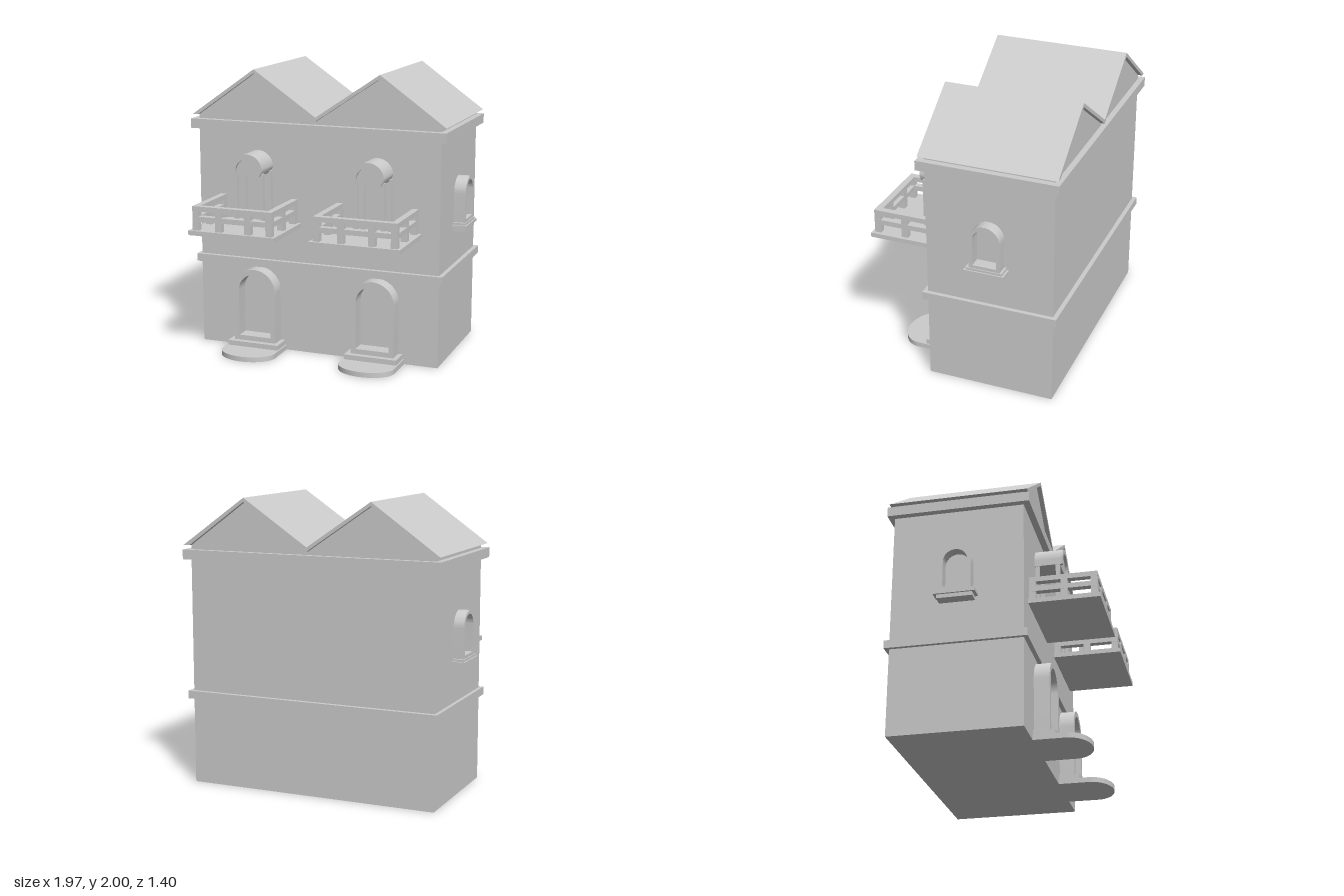
import * as THREE from 'three';
import { toCreasedNormals } from 'three/addons/utils/BufferGeometryUtils.js';

const material = new THREE.MeshStandardMaterial({ color: 0xcccccc });

function add(parent, name, geometry) {
  const mesh = new THREE.Mesh(geometry, material);
  mesh.name = name;
  parent.add(mesh);
  return mesh;
}

// Box given by its limits on each axis
function box(parent, name, x0, x1, y0, y1, z0, z1) {
  const mesh = add(parent, name, new THREE.BoxGeometry(x1 - x0, y1 - y0, z1 - z0));
  mesh.position.set((x0 + x1) / 2, (y0 + y1) / 2, (z0 + z1) / 2);
  return mesh;
}

// Shape in XY extruded from z0 to z1
function prism(parent, name, shape, z0, z1) {
  const geometry = new THREE.ExtrudeGeometry(shape, { depth: z1 - z0, bevelEnabled: false, curveSegments: 20 });
  geometry.translate(0, 0, z0);
  return add(parent, name, toCreasedNormals(geometry, 0.6));
}

const polygon = (points) => new THREE.Shape(points.map(([x, y]) => new THREE.Vector2(x, y)));

// Round-headed outline of half width r, from y0 up to a crown at y1
function arch(r, y0, y1, Type = THREE.Shape) {
  const path = new Type();
  path.moveTo(-r, y0);
  path.lineTo(r, y0);
  path.lineTo(r, y1 - r);
  path.absarc(0, y1 - r, r, 0, Math.PI, false);
  path.lineTo(-r, y0);
  return path;
}

function archFrame(rOuter, rInner, y0, y0Inner, y1, y1Inner) {
  const shape = arch(rOuter, y0, y1);
  shape.holes.push(arch(rInner, y0Inner, y1Inner, THREE.Path));
  return shape;
}

// Ground floor doorway with a threshold and a bowed step
function createDoorway() {
  const door = new THREE.Group();
  door.name = 'doorway';
  prism(door, 'doorFrame', archFrame(0.157, 0.12, 0.07, 0.105, 0.595, 0.558), 0.22, 0.335);
  box(door, 'threshold', -0.19, 0.19, 0.035, 0.07, 0.22, 0.375);
  const step = new THREE.Shape();
  step.moveTo(-0.2, -0.22);
  step.lineTo(-0.2, -0.44);
  step.absellipse(0, -0.44, 0.2, 0.145, Math.PI, Math.PI * 2, false);
  step.lineTo(0.2, -0.22);
  prism(door, 'doorStep', step, 0, 0.035).rotation.x = -Math.PI / 2;
  return door;
}

// Balcony with a pierced railing and an arched hood on four posts
function createBalcony() {
  const balcony = new THREE.Group();
  balcony.name = 'balcony';
  box(balcony, 'balconyFloor', -0.317, 0.317, 0.905, 0.937, 0.22, 0.705);

  for (const [y0, y1] of [[1.0, 1.035], [1.07, 1.105]]) {
    box(balcony, 'frontRail', -0.293, 0.293, y0, y1, 0.64, 0.685);
    for (const s of [-1, 1]) {
      const rail = box(balcony, 'sideRail', 0.248, 0.293, y0, y1, 0.22, 0.64);
      rail.position.x *= s;
    }
  }
  for (const x of [-0.27, -0.1, 0.115, 0.27])
    box(balcony, 'railPost', x - 0.0225, x + 0.0225, 0.937, 1.07, 0.64, 0.685);
  for (const x of [-0.27, 0.27])
    for (const z of [0.252, 0.463])
      box(balcony, 'railPost', x - 0.0225, x + 0.0225, 0.937, 1.07, z - 0.0225, z + 0.0225);

  // Arched hood: open-bottomed band with a recessed filling
  const band = new THREE.Shape();
  band.moveTo(0.11, 1.283);
  band.absarc(0, 1.325, 0.11, 0, Math.PI, false);
  band.lineTo(-0.11, 1.283);
  band.lineTo(-0.088, 1.283);
  band.absarc(0, 1.313, 0.088, Math.PI, 0, true);
  band.lineTo(0.088, 1.283);
  prism(balcony, 'hoodBand', band, 0.22, 0.425);
  prism(balcony, 'hoodFilling', arch(0.09, 1.285, 1.402), 0.22, 0.405);
  for (const x of [-0.097, 0.097])
    for (const z of [0.25, 0.39])
      box(balcony, 'hoodPost', x - 0.012, x + 0.012, 0.93, 1.3, z - 0.014, z + 0.014);
  return balcony;
}

// Arched side window facing +z, set on a moulded sill
function createSideWindow() {
  const win = new THREE.Group();
  win.name = 'sideWindow';
  prism(win, 'windowFrame', archFrame(0.107, 0.082, 0.95, 0.978, 1.27, 1.245), -0.01, 0.083);
  const sill = polygon([
    [-0.01, 0.895], [0.09, 0.895], [0.09, 0.92], [0.1, 0.925],
    [0.1, 0.942], [0.085, 0.957], [-0.01, 0.957],
  ]);
  box(win, 'sillBase', -0.12, 0.12, 0.895, 0.922, -0.01, 0.088);
  box(win, 'sill', -0.14, 0.14, 0.922, 0.942, -0.01, 0.1);
  box(win, 'sillTop', -0.125, 0.125, 0.942, 0.957, -0.01, 0.09);
  return win;
}

export function createModel() {
  const house = new THREE.Group();
  house.name = 'house';

  // Walls and horizontal mouldings
  box(house, 'walls', -0.895, 0.88, 0, 1.6, -0.66, 0.23);
  box(house, 'floorBand', -0.92, 0.91, 0.6, 0.655, -0.69, 0.26);
  box(house, 'cornice', -0.94, 0.925, 1.57, 1.637, -0.7, 0.275);

  // Twin gables under a double-pitched roof
  const under = [[0.875, 1.667], [0.457, 1.972], [-0.005, 1.662], [-0.46, 1.972], [-0.89, 1.667]];
  const over = [[-0.932, 1.667], [-0.46, 2], [-0.005, 1.69], [0.457, 2], [0.922, 1.667]];
  prism(house, 'roof', polygon([...over, ...under]), -0.692, 0.26);
  prism(house, 'gables', polygon([[-0.895, 1.63], [0.88, 1.63], [0.88, 1.667], ...under, [-0.895, 1.667]]), -0.66, 0.23);

  // Matching entrance and balcony in each half
  for (const x of [-0.44, 0.44]) {
    const doorway = createDoorway();
    const balcony = createBalcony();
    doorway.position.x = x;
    balcony.position.x = x - 0.003;
    house.add(doorway, balcony);
  }

  // One window on each side wall
  for (const [x, turn] of [[0.88, 1], [-0.885, -1]]) {
    const win = createSideWindow();
    win.position.set(x, 0, -0.213);
    win.rotation.y = turn * Math.PI / 2;
    house.add(win);
  }
  return house;
}
